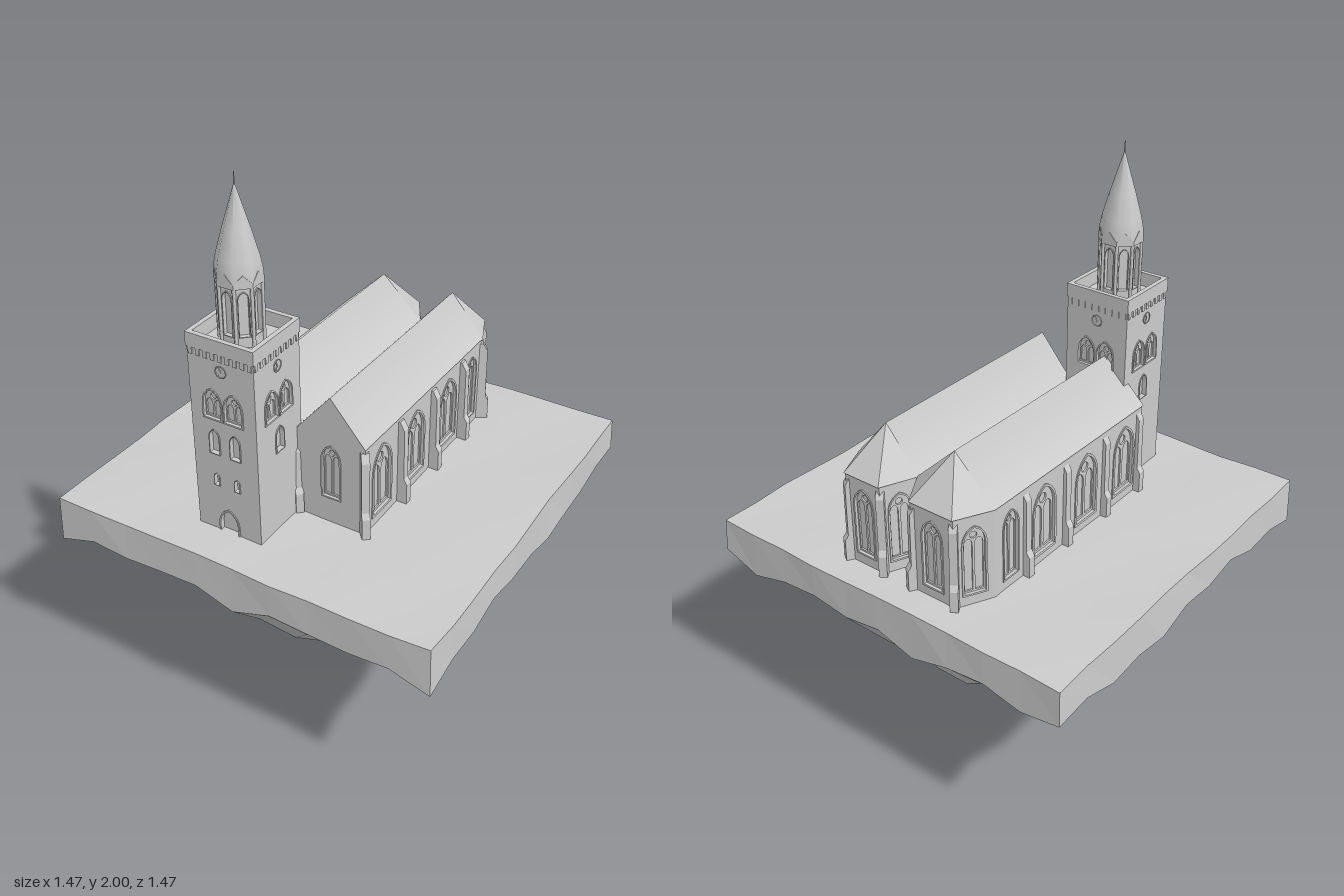
import * as THREE from 'three';
import { mergeVertices } from 'three/addons/utils/BufferGeometryUtils.js';

const mat = new THREE.MeshStandardMaterial({ color: 0xcccccc, side: THREE.DoubleSide });
const GROUND = 0.76, EAVE = 1.105, RIDGE = 1.26;

function add(parent, name, geo, x = 0, y = 0, z = 0) {
  const m = new THREE.Mesh(geo, mat);
  m.name = name;
  m.position.set(x, y, z);
  parent.add(m);
  return m;
}

const extrude = (shape, depth) =>
  new THREE.ExtrudeGeometry(shape, { depth, bevelEnabled: false, curveSegments: 6 });

// Arched opening with its sill centred on (cx, y)
function arch(cx, y, w, h, Type = THREE.Shape) {
  const s = new Type(), r = w / 2, k = Math.min(h, w * 0.85);
  s.moveTo(cx - r, y);
  s.lineTo(cx + r, y);
  s.lineTo(cx + r, y + h - k);
  s.quadraticCurveTo(cx + r, y + h - k * 0.25, cx, y + h);
  s.quadraticCurveTo(cx - r, y + h - k * 0.25, cx - r, y + h - k);
  s.closePath();
  return s;
}

// Wall from a to b ([x, z]) with recessed windows [u, sill, width, height, hasTracery]
function wall(parent, name, a, b, y0, y1, windows = [], peak = null, t = 0.014) {
  const g = new THREE.Group(), dx = b[0] - a[0], dz = b[1] - a[1], len = Math.hypot(dx, dz);
  g.name = name;
  g.position.set(a[0], 0, a[1]);
  g.rotation.y = Math.atan2(-dz, dx);
  parent.add(g);
  const pts = [[0, y0], [len, y0], [len, y1]];
  if (peak) pts.push([len / 2, peak]);
  pts.push([0, y1]);
  const outline = () => new THREE.Shape(pts.map(p => new THREE.Vector2(...p)));
  const face = outline();
  windows.forEach(([u, y, w, h]) => face.holes.push(arch(u, y, w, h, THREE.Path)));
  add(g, 'masonry', extrude(face, t), 0, 0, -t);
  if (windows.length) add(g, 'windowBacking', new THREE.ShapeGeometry(outline()), 0, 0, -t);
  for (const [u, y, w, h, tracery] of windows) {
    const e = w * 0.09;
    const frame = arch(u, y - e, w + 2 * e, h + 2 * e);
    frame.holes.push(arch(u, y, w, h, THREE.Path));
    add(g, 'windowFrame', extrude(frame, 0.007), 0, 0, -0.003);
    if (!tracery) continue;
    // Two lancets below a round light
    const bars = arch(u, y, w, h), q = w * 0.245;
    for (const s of [-1, 1]) bars.holes.push(arch(u + s * q, y + e, w * 0.38, h - w * 0.68, THREE.Path));
    const light = new THREE.Path();
    light.absarc(u, y + h - w * 0.43, w * 0.17, 0, Math.PI * 2);
    bars.holes.push(light);
    add(g, 'tracery', extrude(bars, 0.006), 0, 0, -t + 0.001);
  }
  return g;
}

// Stepped buttress leaning out along the direction (nx, nz)
function buttress(parent, x, z, nx, nz, top = 1.09) {
  const p = [[-0.012, GROUND], [0.036, GROUND], [0.036, 0.845], [0.024, 0.865],
    [0.022, top - 0.03], [0.005, top], [-0.012, top]];
  const geo = extrude(new THREE.Shape(p.map(q => new THREE.Vector2(...q))), 0.028);
  geo.translate(0, 0, -0.014);
  add(parent, 'buttress', geo, x, 0, z).rotation.y = Math.atan2(-nz, nx);
}

function polygonMesh(parent, name, triangles, smooth = false) {
  let geo = new THREE.BufferGeometry();
  geo.setAttribute('position', new THREE.Float32BufferAttribute(triangles.flat(2), 3));
  if (smooth) geo = mergeVertices(geo);
  geo.computeVertexNormals();
  return add(parent, name, geo);
}

// Nave with gabled roof, ending in a three-sided apse
function nave(parent, name, x0, x1, ax0, ax1, gableWindows, sideX) {
  const g = new THREE.Group(), zf = 0.35, zb = -0.49, za = -0.615, cx = (x0 + x1) / 2;
  g.name = name;
  parent.add(g);
  const bays = [[0.11, 0.11], [0.34, 0.11], [0.58, 0.11], [0.76, 0.07]];
  const sideWindows = bays.map(([u, w]) => [sideX > 0 ? u : 0.84 - u, 0.81, w, 0.25, true]);
  wall(g, 'gableWall', [x0, zf], [x1, zf], GROUND, EAVE, gableWindows, RIDGE);
  if (sideX > 0) wall(g, 'sideWall', [x1, zf], [x1, zb], GROUND, EAVE, sideWindows);
  else wall(g, 'sideWall', [x0, zb], [x0, zf], GROUND, EAVE, sideWindows);
  const ring = [[x1, zb], [ax1, za], [ax0, za], [x0, zb]];
  for (let i = 0; i < 3; i++) {
    const [a, b] = [ring[i], ring[i + 1]], len = Math.hypot(b[0] - a[0], b[1] - a[1]);
    wall(g, 'apseWall', a, b, GROUND, EAVE, [[len / 2, 0.81, 0.075, 0.25, true]]);
  }
  // Softly shaded roof slopes and a hipped apse roof
  const r0 = [cx, RIDGE, zf + 0.003], r1 = [cx, RIDGE, zb];
  const at = ([x, z]) => [cx + (x - cx) * 1.02, EAVE, z < zb ? z - 0.006 : z];
  const c = ring.map(at), fR = at([x1, zf + 0.003]), fL = at([x0, zf + 0.003]);
  polygonMesh(g, 'naveRoof', [[r0, fR, c[0]], [r0, c[0], r1], [r0, r1, c[3]], [r0, c[3], fL]], true);
  polygonMesh(g, 'apseRoof', [[r1, c[0], c[1]], [r1, c[1], c[2]], [r1, c[2], c[3]]]);
  for (const z of [-0.33, -0.11, 0.12]) buttress(g, sideX, z, Math.sign(sideX), 0);
  buttress(g, ax0 + 0.008, za + 0.013, -0.5, -0.8);
  buttress(g, ax1 - 0.008, za + 0.013, 0.5, -0.8);
}

function tower(parent) {
  const g = new THREE.Group(), h = 0.125, top = 1.5;
  g.name = 'tower';
  g.position.set(-0.11, 0, 0.45);
  parent.add(g);
  const c = [[-h, h], [h, h], [h, -h], [-h, -h]];
  const belfry = [0.085, 0.165].map(u => [u, 1.21, 0.064, 0.105, true]);
  const front = [[0.125, GROUND + 0.005, 0.07, 0.09],
    ...[0.085, 0.165].flatMap(u => [[u, 1.075, 0.036, 0.09], [u, 0.95, 0.02, 0.045]])];
  for (let i = 0; i < 4; i++) {
    const extra = i === 0 ? front : [[0.125, 1.075, 0.042, 0.09]];
    const side = wall(g, 'towerWall', c[i], c[(i + 1) % 4], GROUND, top, [...belfry, ...extra]);
    add(side, 'parapetBand', new THREE.BoxGeometry(0.256, 0.05, 0.006), h, 1.475, 0);
    for (let k = 0; k < 9; k++)
      add(side, 'corbel', new THREE.BoxGeometry(0.014, 0.025, 0.006), 0.013 + k * 0.028, 1.438, 0);
    // Clock dial with hands
    add(side, 'clockRing', new THREE.TorusGeometry(0.02, 0.002, 6, 20), h, 1.39, 0.001);
    [0.5, 2.4].forEach(a => {
      const hand = add(side, 'clockHand', new THREE.BoxGeometry(0.004, 0.02, 0.003),
        h - Math.sin(a) * 0.008, 1.39 + Math.cos(a) * 0.008, 0.001);
      hand.rotation.z = a;
    });
  }
  add(g, 'towerDeck', new THREE.BoxGeometry(0.24, 0.02, 0.24), 0, 1.44, 0);

  // Octagonal lantern with corner shafts and low gablets
  const lantern = new THREE.Group(), R = 0.07;
  lantern.name = 'lantern';
  lantern.position.x = -0.004;
  g.add(lantern);
  const corner = (i, r) => {
    const a = Math.PI * (0.625 - i / 4);
    return [Math.cos(a) * r, Math.sin(a) * r];
  };
  const sideLength = r => 2 * r * Math.sin(Math.PI / 8);
  for (let i = 0; i < 8; i++) {
    wall(lantern, 'lanternWall', corner(i, R), corner(i + 1, R), 1.44, 1.68,
      [[sideLength(R) / 2, 1.49, 0.032, 0.15]], null, 0.012);
    wall(lantern, 'gablet', corner(i, 0.0795), corner(i + 1, 0.0795), 1.655, 1.67, [], 1.7, 0.008);
    const [x, z] = corner(i, R + 0.002);
    add(lantern, 'cornerShaft', new THREE.CylinderGeometry(0.006, 0.006, 0.24, 6), x, 1.56, z);
  }
  const spire = [[0.079, 1.67], [0.077, 1.7], [0.069, 1.74], [0.045, 1.825], [0.003, 1.96]];
  add(lantern, 'spire', new THREE.LatheGeometry(spire.map(p => new THREE.Vector2(...p)), 8, Math.PI / 8));
  add(lantern, 'spireSoffit', new THREE.CylinderGeometry(0.079, 0.072, 0.015, 8, 1, false, Math.PI / 8), 0, 1.6625, 0);
  add(lantern, 'finial', new THREE.CylinderGeometry(0.0015, 0.003, 0.05, 6), 0, 1.975, 0);
}

// Floating rock: gently uneven top, cut sides and a tapering underside
function island(parent) {
  const S = 1.466, N = 10, H = S / 2;
  const wave = (x, z) => Math.sin(x * 13 + z * 5) * 0.6 + Math.sin(z * 17 - x * 7 + 1) * 0.4;
  const profile = [[0, 0], [0.1, 0.002], [0.2, 0.09], [0.26, 0.1], [0.33, 0.26],
    [0.43, 0.41], [0.58, 0.445], [0.73, 0.6], [2, 0.62]];
  const shift = v => v - 0.07 * Math.max(0, 1 - (v / 0.43) ** 2);
  const isEdge = (x, z) => Math.max(Math.abs(x), Math.abs(z)) > H - 0.01;
  const topY = (x, z) => 0.767 + 0.004 * wave(x, z);
  const bottomY = (x, z) => {
    if (isEdge(x, z)) return 0.625 + 0.035 * wave(x * 1.3, z * 1.3);
    const r = (Math.abs(shift(x)) ** 3 + Math.abs(shift(-z)) ** 3) ** (1 / 3);
    const i = profile.findIndex(p => p[0] > r), [a, b] = [profile[i - 1], profile[i]];
    const y = a[1] + (b[1] - a[1]) * (r - a[0]) / (b[0] - a[0]);
    return y + (r > 0.3 ? 0.028 * wave(x, z) : 0);
  };
  // The top edge is worn slightly inwards
  const inset = (x, z) => 1 - (isEdge(x, z) ? 0.007 * (1 + wave(z, x)) : 0);
  const surface = (name, dir, height) => {
    const geo = new THREE.PlaneGeometry(S, S, N, N).rotateX(dir * Math.PI / 2);
    const p = geo.attributes.position;
    for (let i = 0; i < p.count; i++) {
      const x = p.getX(i), z = p.getZ(i), k = dir < 0 ? inset(x, z) : 1;
      p.setXYZ(i, x * k, height(x, z), z * k);
    }
    geo.computeVertexNormals();
    add(parent, name, geo);
  };
  surface('islandTop', -1, topY);
  surface('islandUnderside', 1, bottomY);
  const rim = [];
  for (let s = 0; s < 4; s++) for (let i = 0; i < N; i++) {
    const t = -H + i * S / N;
    rim.push([[t, H], [H, -t], [-t, -H], [-H, t]][s]);
  }
  const tris = [];
  rim.forEach(([x, z], i) => {
    const [u, w] = rim[(i + 1) % rim.length], k = inset(x, z), l = inset(u, w);
    const a = [x * k, topY(x, z), z * k], b = [u * l, topY(u, w), w * l];
    const c = [u, bottomY(u, w), w], d = [x, bottomY(x, z), z];
    tris.push([a, d, c], [a, c, b]);
  });
  polygonMesh(parent, 'islandSides', tris);
}

export function createModel() {
  const model = new THREE.Group();
  model.name = 'churchOnFloatingIsland';
  island(model);
  nave(model, 'largerNave', -0.30, 0.015, -0.235, -0.06, [], -0.29);
  nave(model, 'smallerNave', 0.015, 0.275, 0.07, 0.22, [[0.13, 0.87, 0.065, 0.2, true]], 0.277);
  // Corner buttresses
  buttress(model, -0.29, 0.33, -1, 0);
  buttress(model, 0.27, 0.345, 0.7, 0.8);
  buttress(model, 0.275, -0.49, 0.85, -0.5);
  buttress(model, 0.005, 0.34, 0.7, 0.7, 1.04);
  tower(model);
  return model;
}
